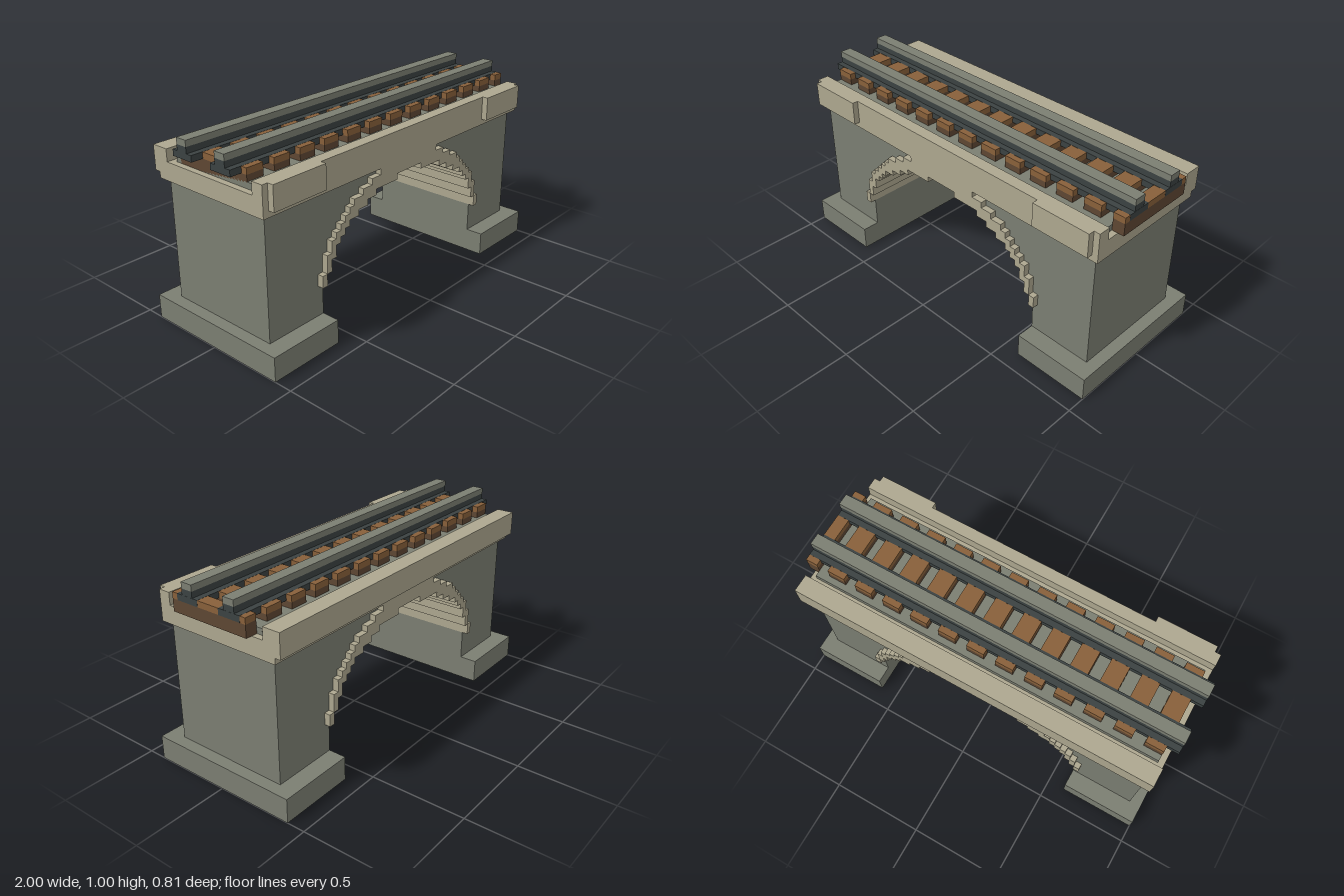
import * as THREE from 'three';

const U = 1 / 32; // building unit

const mat = (name, color) => {
  const m = new THREE.MeshStandardMaterial({ color });
  m.name = name;
  return m;
};

export function createModel() {
  const model = new THREE.Group();
  model.name = 'railwayBridge';
  const stone = mat('greyStone', 0x7b7e72);
  const trim = mat('paleStone', 0xada78f);
  const iron = mat('darkIron', 0x3b4242);
  const wood = mat('lightWood', 0x88603a);
  const darkWood = mat('darkWood', 0x5e4733);

  // Box from minimum and maximum corners, in building units
  const box = (name, m, x0, x1, y0, y1, z0, z1, parent = model) => {
    const g = new THREE.BoxGeometry((x1 - x0) * U, (y1 - y0) * U, (z1 - z0) * U);
    g.translate((x0 + x1) / 2 * U, (y0 + y1) / 2 * U, (z0 + z1) / 2 * U);
    const mesh = new THREE.Mesh(g, m);
    mesh.name = name;
    parent.add(mesh);
    return mesh;
  };

  // Half widths of the stepped arch, one per course from y = 9 upward
  const inner = [19, 19, 18, 18, 17, 17, 16, 15, 14, 12, 10, 8, 3, 0, 0];
  const outer = [20, 20, 19, 19, 19, 18, 18, 17, 16, 15, 14, 13, 11, 9, 7];
  const base = 9;

  // Footings and piers; the piers follow the back of the arch
  for (const s of [1, -1]) {
    const side = s > 0 ? 'left' : 'right';
    box(side + 'Footing', stone, s > 0 ? 19 : -32, s > 0 ? 32 : -19, 0, 4, -13, 13);

    const pts = [[30, 24], [30, 4], [19, 4], [19, base]];
    outer.forEach((w, i) => {
      if (w !== pts[pts.length - 1][0]) pts.push([w, base + i]);
      if (w !== outer[i + 1]) pts.push([w, base + i + 1]);
    });
    const shape = new THREE.Shape(pts.map(([x, y]) => new THREE.Vector2(s * x * U, y * U)));
    const g = new THREE.ExtrudeGeometry(shape, { depth: 20 * U, bevelEnabled: false });
    g.translate(0, 0, -10 * U);
    const pier = new THREE.Mesh(g, stone);
    pier.name = side + 'Pier';
    model.add(pier);
  }

  // Stepped arch ring, standing proud of the piers
  const arch = new THREE.Group();
  arch.name = 'archRing';
  model.add(arch);
  outer.forEach((o, i) => {
    const n = inner[i], y = base + i;
    if (n === 0) {
      box('keyCourse', trim, -o, o, y, y + 1, -11, 11, arch);
    } else {
      box('leftArchStone', trim, n, o, y, y + 1, -11, 11, arch);
      box('rightArchStone', trim, -o, -n, y, y + 1, -11, 11, arch);
    }
  });

  // Deck, parapets and their raised panels
  box('deck', trim, -31, 31, 24, 27, -11, 11);
  box('frontParapet', trim, -31, 31, 27, 29, 9, 11);
  box('backParapet', trim, -31, 31, 27, 29, -11, -9);
  box('backPanel', trim, -31, 31, 25, 29, -12, -11);
  box('leftFrontPanel', trim, 20, 30, 25, 29, 11, 12);
  box('rightFrontPanel', trim, -30, -20, 25, 29, 11, 12);

  // Ballast and sleepers; the last sleeper is cut at the end of the track
  box('ballast', stone, -30, 30, 27, 28, -8, 8);
  for (let i = 0; i < 13; i++) {
    const x0 = -30 + 5 * i, x1 = Math.min(x0 + 3, 32);
    box('sleeperBody', darkWood, x0, x1, 27, 29, -7, 7);
    box('sleeperTop', wood, x0, x1, 29, 30, -7, 7);
  }

  // Rails: the foot wraps the sleeper tops and ends just past them
  for (const s of [1, -1]) {
    const rail = new THREE.Group();
    rail.name = s > 0 ? 'frontRail' : 'backRail';
    model.add(rail);
    const c = 4 * s;
    box('railFoot', iron, -32, 32.02, 29, 30.02, c - 2, c + 2, rail);
    box('railWeb', iron, -32, 32, 30, 31, c - 1, c + 1, rail);
    box('railHead', stone, -32, 32, 31, 32, c - 1, c + 1, rail);
  }
  return model;
}
